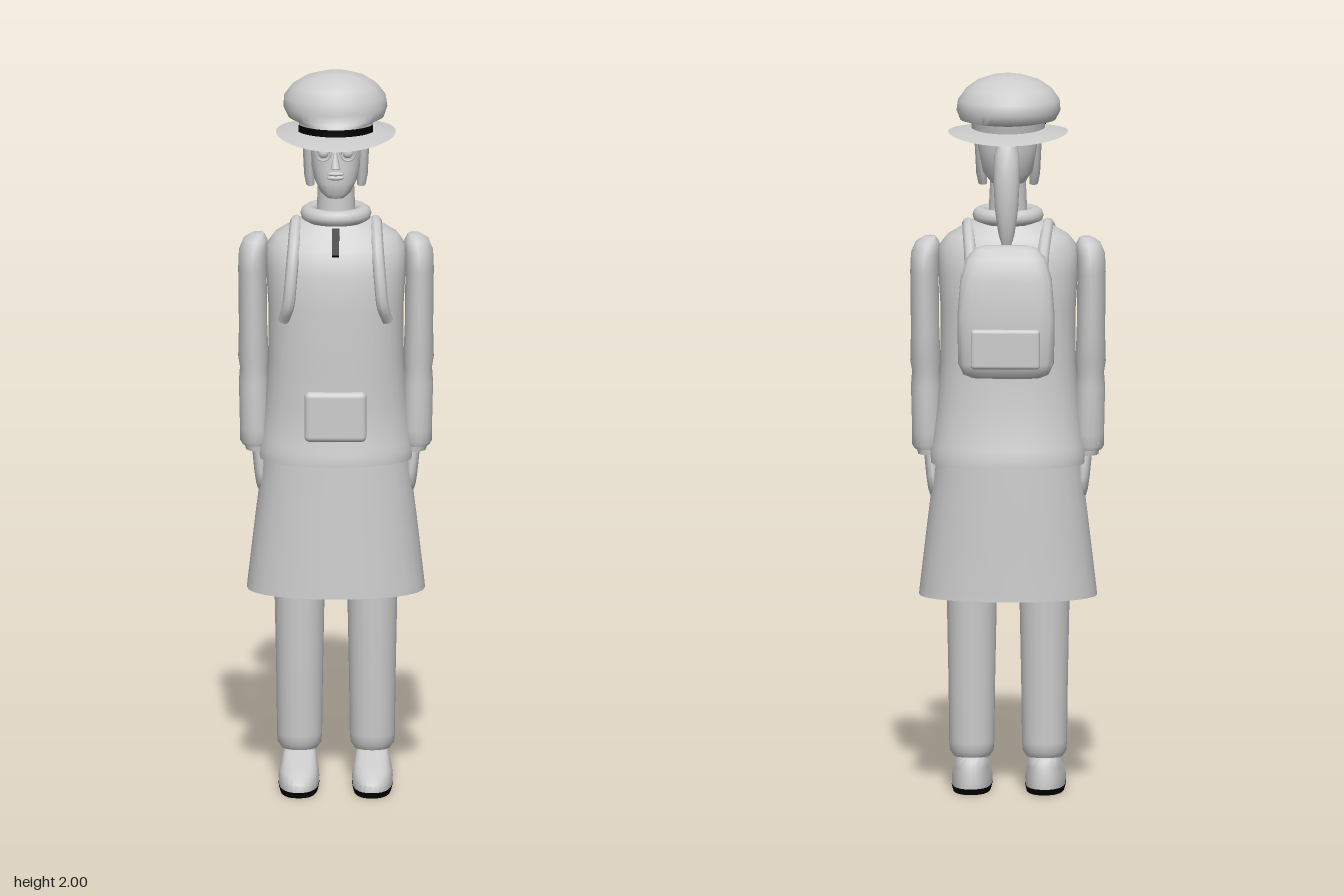
import * as THREE from 'three';
import { toCreasedNormals } from 'three/addons/utils/BufferGeometryUtils.js';
import { RoundedBoxGeometry } from 'three/addons/geometries/RoundedBoxGeometry.js';

// Stack of rounded cross-sections: [y, centreX, centreZ, radiusX, radiusZ], bottom to top
function loft(sections, { power = 2, sides = 28, bottom = true, top = true } = {}) {
  const pos = [], idx = [], n = sections.length;
  const bend = v => Math.sign(v) * Math.abs(v) ** (2 / power);
  for (const [y, cx, cz, rx, rz] of sections)
    for (let j = 0; j < sides; j++) {
      const t = j / sides * Math.PI * 2;
      pos.push(cx + rx * bend(Math.sin(t)), y, cz + rz * bend(Math.cos(t)));
    }
  for (let i = 0; i < n - 1; i++)
    for (let j = 0; j < sides; j++) {
      const k = (j + 1) % sides, a = i * sides, d = a + sides;
      idx.push(a + j, a + k, d + k, a + j, d + k, d + j);
    }
  const cap = (i, up) => {
    const [y, cx, cz] = sections[i], c = pos.length / 3, a = i * sides;
    pos.push(cx, y, cz);
    for (let j = 0; j < sides; j++) {
      const k = (j + 1) % sides;
      if (up) idx.push(c, a + j, a + k); else idx.push(c, a + k, a + j);
    }
  };
  if (bottom) cap(0, false);
  if (top) cap(n - 1, true);
  const g = new THREE.BufferGeometry();
  g.setAttribute('position', new THREE.Float32BufferAttribute(pos, 3));
  g.setIndex(idx);
  return toCreasedNormals(g, 0.9);
}

export function createModel() {
  const group = new THREE.Group();
  const grey = new THREE.MeshStandardMaterial({ color: 0xcccccc, side: THREE.DoubleSide });
  grey.name = 'light grey';
  const black = new THREE.MeshStandardMaterial({ color: 0x000000, side: THREE.DoubleSide });
  black.name = 'black';
  const add = (name, geo, mat = grey, x = 0, y = 0, z = 0) => {
    const m = new THREE.Mesh(geo, mat);
    m.name = name;
    m.position.set(x, y, z);
    group.add(m);
    return m;
  };

  // Skirt, open underneath
  add('skirt', loft([
    [0.55, 0, 0.016, 0.245, 0.162], [0.57, 0, 0.016, 0.243, 0.161],
    [0.75, 0, 0.012, 0.222, 0.155], [0.96, 0, 0.01, 0.196, 0.146],
  ], { bottom: false, power: 2.2 }));

  // Jacket with a slightly flared hem and sloping shoulders
  add('jacket', loft([
    [0.92, 0, 0.008, 0.213, 0.157], [0.95, 0, 0.008, 0.215, 0.157], [0.97, 0, 0.008, 0.21, 0.15],
    [1.08, 0, 0.014, 0.196, 0.142], [1.2, 0, 0.02, 0.186, 0.136], [1.35, 0, 0.02, 0.186, 0.138],
    [1.45, 0, 0.02, 0.192, 0.132], [1.52, 0, 0.017, 0.19, 0.115], [1.55, 0, 0.013, 0.168, 0.092],
    [1.58, 0, 0.01, 0.118, 0.07], [1.605, 0, 0.01, 0.07, 0.055],
  ], { power: 2.3, sides: 36 }));
  add('pouchPocket', new RoundedBoxGeometry(0.17, 0.14, 0.04, 3, 0.015), grey, 0, 1.06, 0.15);
  const collar = add('collar', new THREE.TorusGeometry(0.076, 0.022, 10, 32), grey, 0, 1.605, 0.015);
  collar.rotation.x = Math.PI / 2;
  const zip = add('zipper', new THREE.BoxGeometry(0.02, 0.068, 0.009), black, 0, 1.543, 0.117);
  zip.rotation.x = -0.72;
  zip.scale.y = 1.25;

  for (const s of [-1, 1]) {
    // Sleeves with soft folds near the elbow
    add('arm', loft([
      [0.955, s * 0.222, 0.018, 0.036, 0.046], [0.965, s * 0.222, 0.018, 0.042, 0.05],
      [1.0, s * 0.222, 0.018, 0.042, 0.052], [1.13, s * 0.226, 0.012, 0.041, 0.056],
      [1.17, s * 0.226, 0.012, 0.038, 0.054], [1.2, s * 0.227, 0.01, 0.042, 0.06],
      [1.28, s * 0.228, 0.008, 0.039, 0.062], [1.45, s * 0.23, 0.007, 0.039, 0.072],
      [1.5, s * 0.228, 0.007, 0.039, 0.07], [1.53, s * 0.222, 0.007, 0.033, 0.052],
      [1.545, s * 0.215, 0.007, 0.018, 0.026],
    ], { sides: 16 }));
    add('cuff', loft([
      [0.94, s * 0.218, 0.018, 0.03, 0.04], [0.97, s * 0.22, 0.018, 0.035, 0.045],
    ], { sides: 16 }));
    add('hand', loft([
      [0.828, s * 0.205, 0.012, 0.01, 0.022], [0.845, s * 0.205, 0.012, 0.015, 0.036],
      [0.88, s * 0.207, 0.012, 0.018, 0.042], [0.95, s * 0.212, 0.015, 0.02, 0.03],
    ], { sides: 14 }));

    // Trouser legs gathered at the ankle
    add('leg', loft([
      [0.1, s * 0.1, 0.02, 0.05, 0.05], [0.115, s * 0.1, 0.02, 0.06, 0.06],
      [0.14, s * 0.1, 0.02, 0.062, 0.061], [0.3, s * 0.1, 0.022, 0.064, 0.066],
      [0.5, s * 0.1, 0.022, 0.068, 0.073], [0.7, s * 0.1, 0.02, 0.072, 0.078],
    ], { sides: 20 }));
    add('ankle', new THREE.CylinderGeometry(0.038, 0.04, 0.08, 16), grey, s * 0.1, 0.09, 0.008);

    // Shoes
    add('sole', loft([
      [0, s * 0.101, 0.086, 0.052, 0.14], [0.016, s * 0.101, 0.086, 0.056, 0.145],
    ], { power: 2.5 }), black);
    add('shoe', loft([
      [0.016, s * 0.101, 0.086, 0.055, 0.144], [0.035, s * 0.101, 0.085, 0.056, 0.143],
      [0.055, s * 0.101, 0.072, 0.053, 0.126], [0.072, s * 0.1, 0.047, 0.048, 0.098],
      [0.09, s * 0.1, 0.02, 0.043, 0.064], [0.1, s * 0.1, 0.01, 0.036, 0.046],
    ], { power: 2.4 }));

    // Backpack straps running over the shoulders
    const path = new THREE.CatmullRomCurve3([
      [0.142, 1.325, 0.115], [0.13, 1.37, 0.14], [0.122, 1.45, 0.138], [0.115, 1.53, 0.105],
      [0.11, 1.578, 0.03], [0.107, 1.565, -0.04], [0.1, 1.5, -0.11], [0.1, 1.42, -0.13],
    ].map(([x, y, z]) => new THREE.Vector3(s * x, y, z)));
    add('strap', new THREE.TubeGeometry(path, 40, 0.017, 8));

    // Eyes with rims, and side locks of hair
    const eye = add('eye', new THREE.SphereGeometry(0.014, 14, 10), grey, s * 0.033, 1.795, 0.112);
    eye.scale.z = 0.7;
    add('eyeRim', new THREE.TorusGeometry(0.02, 0.003, 6, 20), grey, s * 0.034, 1.795, 0.118);
    add('sideHair', loft([
      [1.69, s * 0.07, 0.03, 0.012, 0.03], [1.72, s * 0.073, 0.025, 0.015, 0.042],
      [1.8, s * 0.076, 0.02, 0.016, 0.05], [1.86, s * 0.076, 0.02, 0.016, 0.05],
    ], { sides: 14 }));
  }

  // Backpack
  add('backpack', loft([
    [1.18, 0, -0.165, 0.095, 0.03], [1.19, 0, -0.165, 0.118, 0.044], [1.22, 0, -0.163, 0.132, 0.054],
    [1.35, 0, -0.16, 0.134, 0.058], [1.45, 0, -0.157, 0.126, 0.054], [1.51, 0, -0.152, 0.108, 0.044],
    [1.535, 0, -0.148, 0.085, 0.03], [1.543, 0, -0.147, 0.06, 0.016],
  ], { power: 3.6, sides: 40 }));
  add('backpackPocket', new RoundedBoxGeometry(0.19, 0.11, 0.035, 3, 0.01), grey, 0, 1.265, -0.213);

  // Neck and head
  add('neck', new THREE.CylinderGeometry(0.047, 0.055, 0.18, 20), grey, 0, 1.66, 0.008);
  add('head', loft([
    [1.666, 0, 0.085, 0.025, 0.026], [1.68, 0, 0.078, 0.042, 0.042], [1.71, 0, 0.058, 0.058, 0.066],
    [1.75, 0, 0.04, 0.068, 0.082], [1.8, 0, 0.028, 0.074, 0.087], [1.87, 0, 0.022, 0.076, 0.095],
  ], { power: 2.2 }));
  const nose = add('nose', new THREE.ConeGeometry(0.014, 0.06, 8), grey, 0, 1.782, 0.124);
  nose.rotation.x = -0.25;
  for (const [y, r] of [[1.738, 0.006], [1.727, 0.007]]) {
    const lip = add('lip', new THREE.SphereGeometry(1, 14, 8), grey, 0, y, 0.121);
    lip.scale.set(0.024, r, 0.009);
  }

  // Hair and ponytail
  add('hair', loft([
    [1.7, 0, -0.02, 0.045, 0.035], [1.73, 0, -0.02, 0.068, 0.056],
    [1.8, 0, -0.02, 0.082, 0.075], [1.86, 0, -0.015, 0.085, 0.08],
  ]));
  add('ponytail', loft([
    [1.53, 0, -0.115, 0.01, 0.008], [1.57, 0, -0.12, 0.022, 0.02], [1.64, 0, -0.122, 0.032, 0.03],
    [1.72, 0, -0.12, 0.036, 0.034], [1.79, 0, -0.11, 0.034, 0.032], [1.83, 0, -0.095, 0.024, 0.026],
  ], { sides: 16 }));

  // Hat: drooping brim, puffed crown and a dark front band
  const brim = new THREE.LatheGeometry(
    [[0.02, 1.85], [0.1, 1.848], [0.14, 1.841], [0.165, 1.836]].map(p => new THREE.Vector2(...p)), 48);
  brim.scale(1, 1, 1.27);
  const p = brim.attributes.position;
  for (let i = 0; i < p.count; i++) p.setY(i, p.getY(i) - 0.25 * p.getZ(i) ** 2);
  brim.computeVertexNormals();
  add('hatBrim', brim, grey, 0, 0, 0.022);
  add('hatCrown', loft([
    [1.835, 0, 0.02, 0.1, 0.115], [1.867, 0, 0.015, 0.102, 0.118], [1.875, 0, -0.006, 0.132, 0.128],
    [1.9, -0.002, -0.013, 0.143, 0.133], [1.93, -0.003, -0.013, 0.14, 0.13],
    [1.96, -0.003, -0.01, 0.118, 0.108], [1.982, -0.002, -0.006, 0.086, 0.078],
    [1.995, 0, -0.003, 0.046, 0.042], [2, 0, 0, 0.015, 0.014],
  ], { sides: 36 }));
  const band = new THREE.CylinderGeometry(1, 1, 0.02, 32, 1, true, -1.2, 2.4);
  band.scale(0.11, 1, 0.108);
  add('hatBand', band, black, 0, 1.857, 0.038);

  return group;
}
